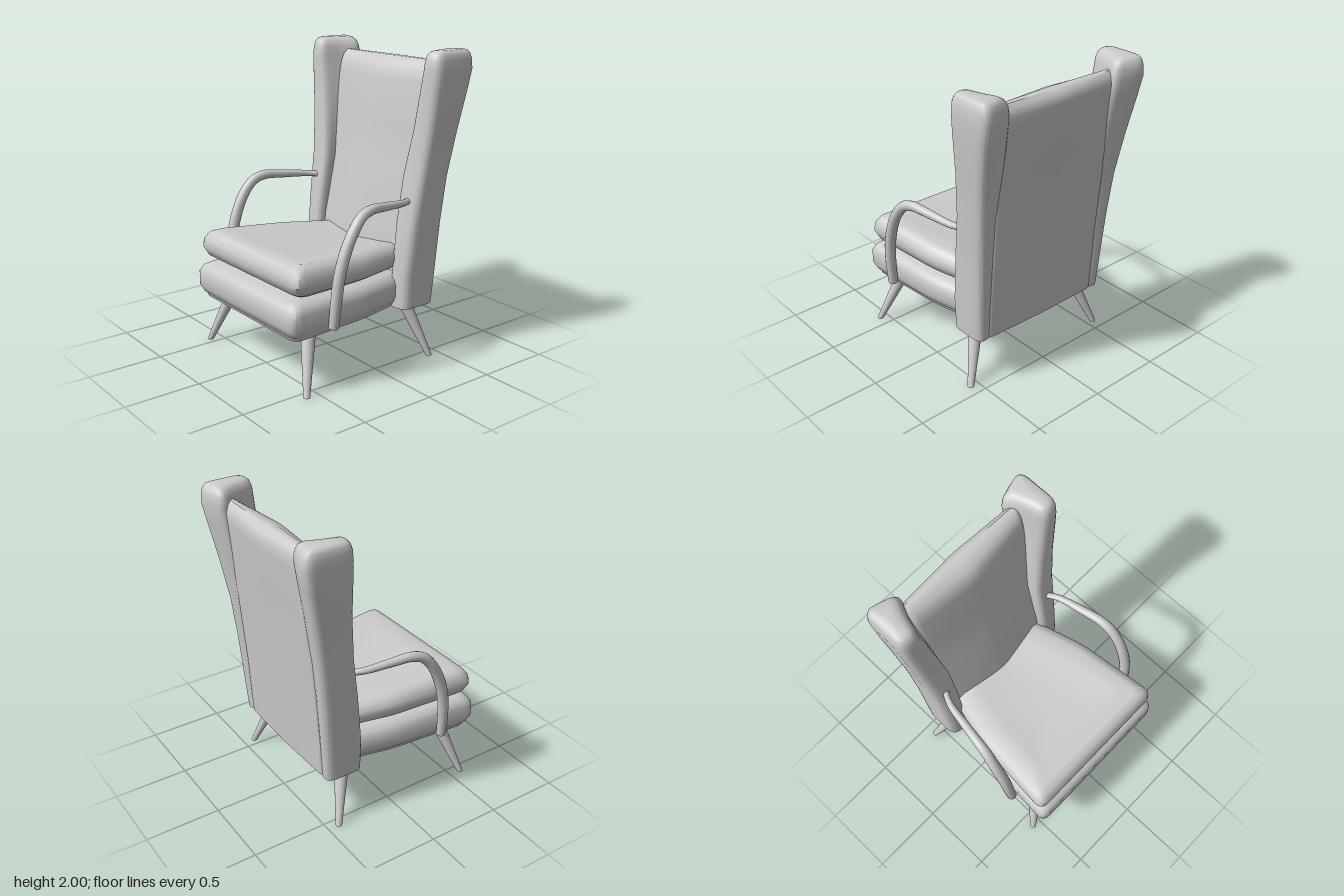
import * as THREE from 'three';
import { toCreasedNormals } from 'three/addons/utils/BufferGeometryUtils.js';

const material = new THREE.MeshStandardMaterial({ color: 0xcccccc });

function part(name, geometry) {
  const mesh = new THREE.Mesh(geometry, material);
  mesh.name = name;
  return mesh;
}

// Polygon of [x, z] corners with each corner rounded by a small curve
function roundPoly(points, radius, seg = 5) {
  const out = [], n = points.length;
  const pts = points.map(([x, z]) => new THREE.Vector2(x, z));
  pts.forEach((p, i) => {
    const toward = (q) => p.clone().lerp(q, Math.min(0.45, radius / (p.distanceTo(q) || 1)));
    const curve = new THREE.QuadraticBezierCurve(toward(pts[(i + n - 1) % n]), p, toward(pts[(i + 1) % n]));
    out.push(...curve.getPoints(seg));
  });
  return out;
}

// Closed skin over rings of Vector3, capped at both ends, always facing outward
function loft(rings, crease = 0.7) {
  const n = rings[0].length, verts = rings.flat(), index = [];
  for (let r = 0; r < rings.length - 1; r++) {
    for (let i = 0; i < n; i++) {
      const a = r * n + i, b = r * n + (i + 1) % n;
      index.push(a, b, a + n, b, b + n, a + n);
    }
  }
  [0, rings.length - 1].forEach((r) => {
    const mid = rings[r].reduce((s, p) => s.add(p), new THREE.Vector3()).divideScalar(n);
    const c = verts.push(mid) - 1;
    for (let i = 0; i < n; i++) {
      const a = r * n + i, b = r * n + (i + 1) % n;
      index.push(...(r === 0 ? [c, b, a] : [c, a, b]));
    }
  });
  let volume = 0;
  for (let i = 0; i < index.length; i += 3) {
    volume += verts[index[i]].dot(verts[index[i + 1]].clone().cross(verts[index[i + 2]]));
  }
  if (volume < 0) index.reverse();
  const geometry = new THREE.BufferGeometry().setFromPoints(verts);
  geometry.setIndex(index);
  return toCreasedNormals(geometry, crease);
}

// Cushion that narrows to the rear; profile rows are [inset, y]
function cushion(profile, { front, back, wide, middle, narrow, height }) {
  return loft(profile.map(([inset, y]) => {
    const half = [[wide - inset, front - inset], [middle - inset, 0.06], [narrow - inset, back]];
    const mirrored = half.map(([x, z]) => [-x, z]).reverse();
    return roundPoly([...half, ...mirrored], 0.07)
      .map((p) => new THREE.Vector3(p.x, height(y, p.x, p.y), p.y));
  }));
}

// Wing at the side of the back, lofted upward
function wing(side) {
  // y, outer x, front z, back z, inner front x, inner middle x, inner back x
  const levels = [
    [0.35, 0.53, -0.2, -0.485, 0.39, 0.39, 0.38],
    [0.56, 0.54, -0.2, -0.5, 0.39, 0.39, 0.38],
    [0.9, 0.553, -0.235, -0.525, 0.385, 0.385, 0.38],
    [1.2, 0.572, -0.28, -0.553, 0.39, 0.39, 0.38],
    [1.5, 0.602, -0.312, -0.602, 0.445, 0.41, 0.385],
    [1.75, 0.628, -0.325, -0.652, 0.485, 0.44, 0.39],
    [1.88, 0.638, -0.33, -0.677, 0.505, 0.46, 0.395],
  ];
  const section = ([y, out, zf, zb, inFront, inMid, inBack]) => {
    const depth = zf - zb;
    return roundPoly([
      [out, zf - 0.02], [out, zb + 0.03], [out - 0.05, zb],
      [inBack, zb + depth * 0.17], [inMid, zb + depth * 0.55], [inFront, zf],
    ], 0.06).map((p) => new THREE.Vector3(side * p.x, y, p.y));
  };
  const rings = levels.map(section);
  // Rounded top
  const last = rings[rings.length - 1];
  [[1.94, 0.95], [1.975, 0.83], [1.993, 0.66], [2.0, 0.42]].forEach(([y, k]) => {
    rings.push(last.map((p) => new THREE.Vector3(
      side * (0.575 + (side * p.x - 0.575) * k), y, -0.515 + (p.z + 0.515) * (0.4 + 0.6 * k))));
  });
  return loft(rings, 0.8);
}

// Back panel, bowed forward and back along its middle
function backPanel() {
  // y, front middle z, front side z, back middle z, back side z
  const levels = [
    [0.35, -0.2, -0.25, -0.485, -0.475],
    [0.8, -0.225, -0.3, -0.52, -0.5],
    [1.2, -0.32, -0.385, -0.55, -0.535],
    [1.5, -0.36, -0.42, -0.58, -0.56],
    [1.78, -0.4, -0.45, -0.61, -0.585],
    [1.85, -0.415, -0.465, -0.615, -0.59],
    [1.895, -0.45, -0.49, -0.6, -0.575],
    [1.92, -0.51, -0.525, -0.56, -0.55],
  ];
  const w = 0.46;
  return loft(levels.map(([y, fm, fs, bm, bs]) =>
    roundPoly([[w, fs], [0, fm], [-w, fs], [-w, bs], [0, bm], [w, bs]], 0.05)
      .map((p) => new THREE.Vector3(p.x, y, p.y))));
}

// Bent arm, thinner at both ends
function arm(side) {
  const path = [
    [0.563, 0.4, 0.385], [0.577, 0.56, 0.378], [0.585, 0.72, 0.36], [0.588, 0.86, 0.32],
    [0.588, 0.98, 0.26], [0.58, 1.06, 0.19], [0.57, 1.088, 0.11], [0.545, 1.08, -0.03],
    [0.51, 1.065, -0.2], [0.46, 1.055, -0.3],
  ].map(([x, y, z]) => new THREE.Vector3(side * x, y, z));
  const curve = new THREE.CatmullRomCurve3(path);
  const rings = [];
  const steps = 44, sides = 14;
  const tube = new THREE.TubeGeometry(curve, steps, 1, sides).attributes.position;
  for (let i = 0; i <= steps; i++) {
    const t = i / steps, center = curve.getPointAt(t);
    const radius = 0.021 + 0.016 * Math.sin(Math.PI * Math.min(1, 0.25 + t * 0.8));
    const ring = [];
    for (let j = 0; j < sides; j++) {
      const p = new THREE.Vector3().fromBufferAttribute(tube, i * (sides + 1) + j);
      ring.push(p.sub(center).multiplyScalar(radius).add(center));
    }
    rings.push(ring);
  }
  return loft(rings, 0.9);
}

// Splayed tapered leg with a level foot
function leg(side, top, foot) {
  const height = 0.38;
  const geometry = new THREE.CylinderGeometry(0.05, 0.021, height, 18);
  geometry.translate(0, height / 2, 0);
  const shear = new THREE.Matrix4().set(
    1, side * (0.415 - 0.555) / height, 0, side * 0.555,
    0, 1, 0, 0,
    0, (top - foot) / height, 1, foot,
    0, 0, 0, 1);
  return geometry.applyMatrix4(shear);
}

export function createModel() {
  const chair = new THREE.Group();
  chair.name = 'wingArmchair';

  chair.add(part('seatBase', cushion(
    [[0.04, 0.352], [0.035, 0.37], [0.02, 0.385], [0, 0.43], [0, 0.52], [0.02, 0.56], [0.06, 0.585], [0.35, 0.585]],
    {
      front: 0.675, back: -0.46, wide: 0.557, middle: 0.51, narrow: 0.4,
      height: (y, x, z) => y - (y > 0.5 ? 0.022 * (0.6 - z) : 0),
    })));

  chair.add(part('seatCushion', cushion(
    [[0.35, 0.6], [0.08, 0.602], [0.025, 0.635], [0, 0.69], [0.006, 0.745], [0.035, 0.79], [0.08, 0.81], [0.2, 0.805], [0.36, 0.8]],
    {
      front: 0.645, back: -0.32, wide: 0.55, middle: 0.497, narrow: 0.4,
      height: (y, x, z) => y - (0.6 - z) * (y > 0.7 ? 0.058 : 0.03)
        - (y > 0.76 ? 0.022 * Math.max(0, 1 - (x / 0.48) ** 2) : 0),
    })));

  chair.add(part('backPanel', backPanel()));

  for (const [label, side] of [['left', 1], ['right', -1]]) {
    chair.add(part(label + 'Wing', wing(side)));
    chair.add(part(label + 'Arm', arm(side)));
    chair.add(part(label + 'FrontLeg', leg(side, 0.465, 0.583)));
    chair.add(part(label + 'RearLeg', leg(side, -0.305, -0.42)));
  }
  return chair;
}
